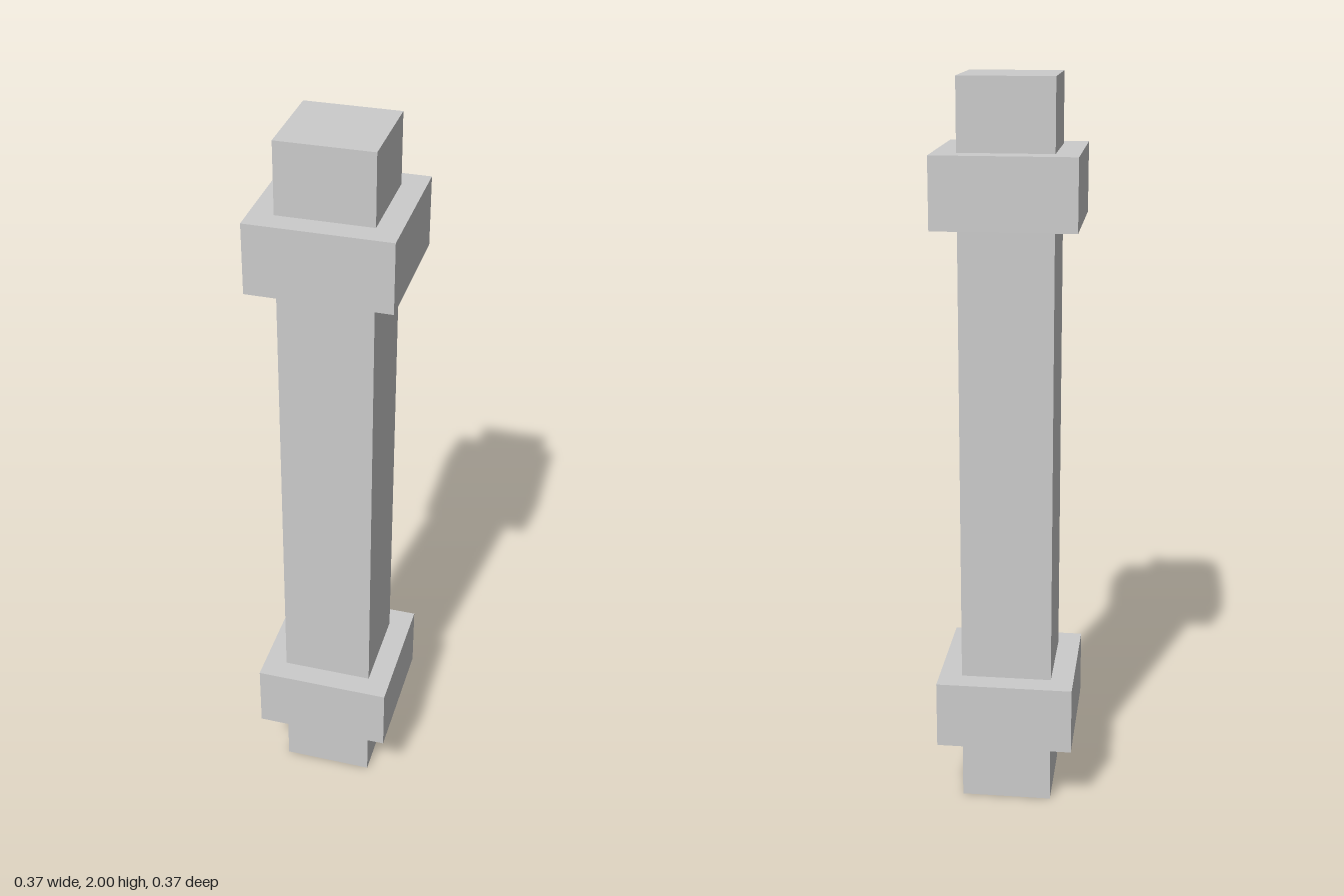
import * as THREE from 'three';

export function createModel() {
  const group = new THREE.Group();
  group.name = 'post';
  const material = new THREE.MeshStandardMaterial({ color: 0xcccccc, flatShading: true });

  // Square block standing between two heights
  const block = (name, width, bottom, top) => {
    const mesh = new THREE.Mesh(new THREE.BoxGeometry(width, top - bottom, width), material);
    mesh.name = name;
    mesh.position.y = (bottom + top) / 2;
    group.add(mesh);
  };

  // Full-height shaft
  block('shaft', 0.249, 0, 2);

  // Collars, equally far from each end
  const inset = 0.187, height = 0.187, width = 0.374;
  block('lowerCollar', width, inset, inset + height);
  block('upperCollar', width, 2 - inset - height, 2 - inset);

  return group;
}
